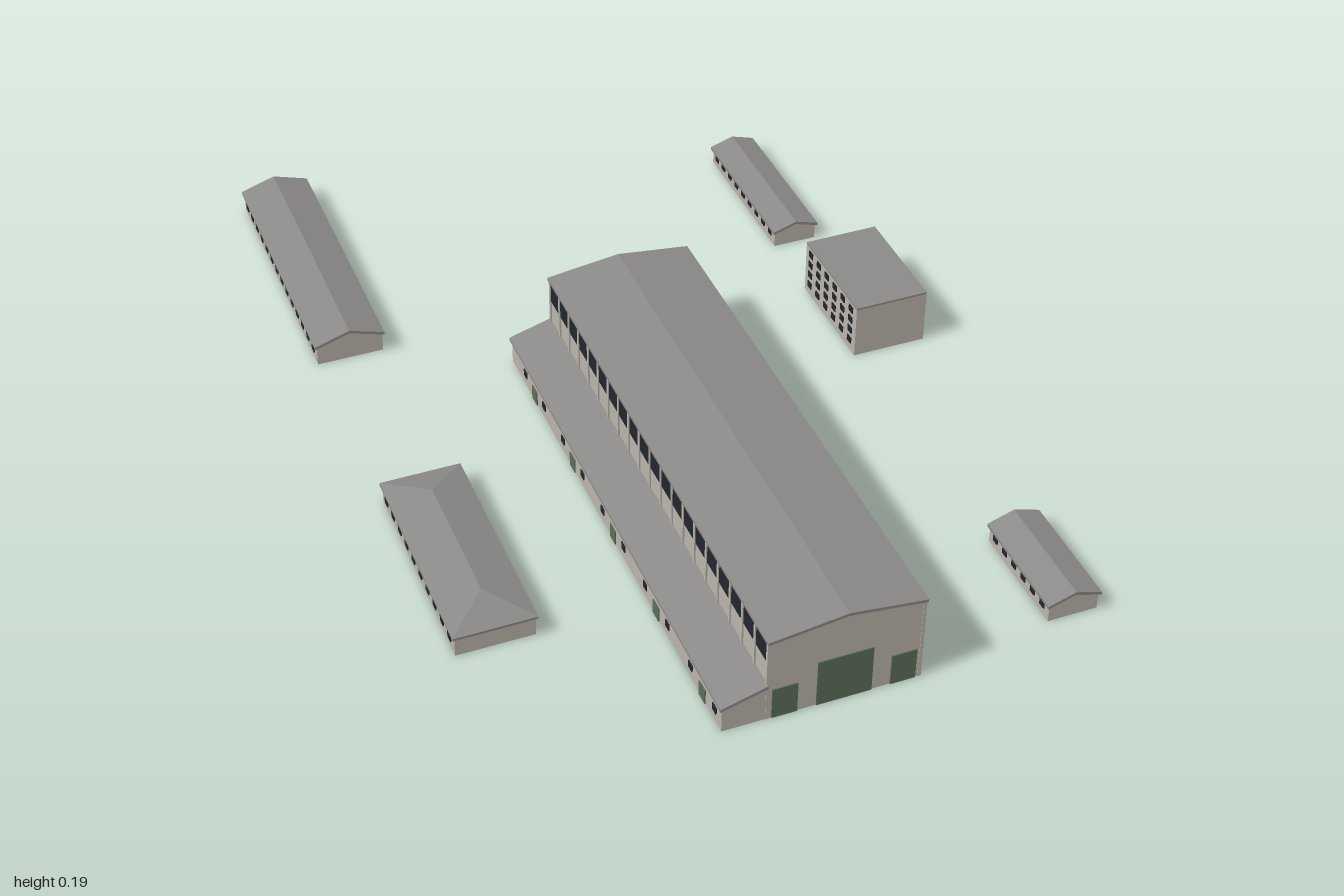
import * as THREE from 'three';
import { ConvexGeometry } from 'three/addons/geometries/ConvexGeometry.js';

const material = (name, color) => {
  const m = new THREE.MeshStandardMaterial({ color });
  m.name = name;
  return m;
};

const YAW = -0.49; // every building shares the same heading
const OVER = 0.004; // roof overhang
const THICK = 0.006; // roof thickness

export function createModel() {
  const model = new THREE.Group();
  model.name = 'industrialSite';
  const wall = material('wall plaster', 0xbab5aa);
  const roof = material('roof grey', 0x8b8a88);
  const glass = material('window dark', 0x23262e);
  const green = material('door green', 0x5c6d59);

  const add = (parent, name, geometry, mat, x = 0, y = 0, z = 0) => {
    const mesh = new THREE.Mesh(geometry, mat);
    mesh.name = name;
    mesh.position.set(x, y, z);
    parent.add(mesh);
    return mesh;
  };
  const box = (parent, name, mat, w, h, d, x, y, z) =>
    add(parent, name, new THREE.BoxGeometry(w, h, d), mat, x, y, z);

  // Cross-section in x/y pushed along z, centred on z = 0
  const prism = (parent, name, mat, points, length) => {
    const shape = new THREE.Shape(points.map(([x, y]) => new THREE.Vector2(x, y)));
    const g = new THREE.ExtrudeGeometry(shape, { depth: length, bevelEnabled: false });
    return add(parent, name, g, mat, 0, 0, -length / 2);
  };

  const building = (name, x, z) => {
    const g = new THREE.Group();
    g.name = name;
    g.position.set(x, 0, z);
    g.rotation.y = YAW;
    model.add(g);
    return g;
  };

  // Evenly spaced panes along a side wall at the given x
  const windowRow = (parent, x, y, count, length, w, h) => {
    const step = length / count;
    for (let i = 0; i < count; i++)
      box(parent, 'window', glass, 0.004, h, w, x, y, -length / 2 + step * (i + 0.5));
  };

  // Walls and a two-sided roof of constant thickness
  const gabled = (parent, cx, width, length, eave, ridge) => {
    const r = width / 2;
    const w = r - OVER;
    const lowWall = eave - THICK;
    prism(parent, 'walls', wall,
      [[cx - w, 0], [cx + w, 0], [cx + w, lowWall], [cx, ridge - THICK], [cx - w, lowWall]],
      length - 2 * OVER);
    prism(parent, 'roof', roof,
      [[cx - r, eave - THICK], [cx, ridge - THICK], [cx + r, eave - THICK],
        [cx + r, eave], [cx, ridge], [cx - r, eave]], length);
  };

  // Main hall
  const hall = building('mainHall', -0.194, 0.311);
  const L = 1.05, hx = 0.04, hw = 0.284;
  gabled(hall, hx, hw, L, 0.175, 0.193);
  const bays = 20, bayLength = (L - 0.012) / bays;
  for (const s of [-1, 1]) {
    const x = hx + s * (hw / 2 - OVER);
    windowRow(hall, x, 0.145, bays, L - 0.012, 0.041, 0.038);
    // Pilasters between the bays
    for (let i = 0; i <= bays; i++)
      box(hall, 'pilaster', wall, 0.006, 0.168, 0.006, x, 0.084, (i - bays / 2) * bayLength);
    // Gable gates, front and back
    const z = s * (L / 2 - OVER);
    box(hall, 'mainGate', green, 0.1, 0.097, 0.004, hx, 0.0485, z);
    for (const side of [-1, 1])
      box(hall, 'sideGate', green, 0.046, 0.064, 0.004, hx + side * 0.107, 0.032, z);
  }

  // Lean-to along the hall
  const outer = -0.182, inner = hx - hw / 2 + OVER;
  prism(hall, 'leanToWalls', wall,
    [[outer + OVER, 0], [inner, 0], [inner, 0.072], [outer + OVER, 0.049]], L - 2 * OVER);
  prism(hall, 'leanToRoof', roof,
    [[outer, 0.048], [inner, 0.072], [inner, 0.078], [outer, 0.054]], L);
  for (let i = 0; i < 20; i++) {
    const z = (i - 9.5) * bayLength;
    if (i % 4 === 2) box(hall, 'leanToDoor', green, 0.004, 0.03, 0.026, outer + OVER, 0.015, z);
    else if (i % 2 === 1) box(hall, 'leanToWindow', glass, 0.004, 0.014, 0.016, outer + OVER, 0.027, z);
  }

  // Gabled sheds: name, x, z, width, length, eave, ridge, windows per side
  const sheds = [
    ['longShed', -0.171, -0.72, 0.138, 0.56, 0.044, 0.066, 14],
    ['eastShed', 0.633, -0.21, 0.096, 0.335, 0.037, 0.052, 9],
    ['southShed', 0.058, 0.871, 0.102, 0.226, 0.038, 0.055, 6],
  ];
  for (const [name, x, z, width, length, eave, ridge, count] of sheds) {
    const shed = building(name, x, z);
    gabled(shed, 0, width, length, eave, ridge);
    for (const s of [-1, 1])
      windowRow(shed, s * (width / 2 - OVER), 0.023, count, length - 0.02, 0.015, 0.014);
  }

  // Hipped building
  const hip = building('hippedBuilding', -0.592, 0.089);
  const hipW = 0.152, hipL = 0.425, hipRidge = 0.136;
  box(hip, 'walls', wall, hipW - 2 * OVER, 0.04, hipL - 2 * OVER, 0, 0.02, 0);
  const corners = [];
  for (const sz of [-1, 1]) {
    for (const sx of [-1, 1])
      for (const y of [0.038, 0.043])
        corners.push(new THREE.Vector3(sx * hipW / 2, y, sz * hipL / 2));
    corners.push(new THREE.Vector3(0, 0.066, sz * hipRidge));
  }
  add(hip, 'hippedRoof', new ConvexGeometry(corners), roof);
  for (const s of [-1, 1])
    windowRow(hip, s * (hipW / 2 - OVER), 0.023, 10, hipL - 0.02, 0.016, 0.014);

  // Flat-roofed office block
  const block = building('officeBlock', 0.455, 0.185);
  const bw = 0.147, bl = 0.233;
  box(block, 'walls', wall, bw, 0.108, bl, 0, 0.054, 0);
  box(block, 'flatRoof', roof, bw, 0.004, bl, 0, 0.11, 0);
  for (const s of [-1, 1])
    for (let floor = 0; floor < 4; floor++)
      windowRow(block, s * bw / 2, 0.024 + floor * 0.024, 6, bl - 0.01, 0.016, 0.013);

  return model;
}
